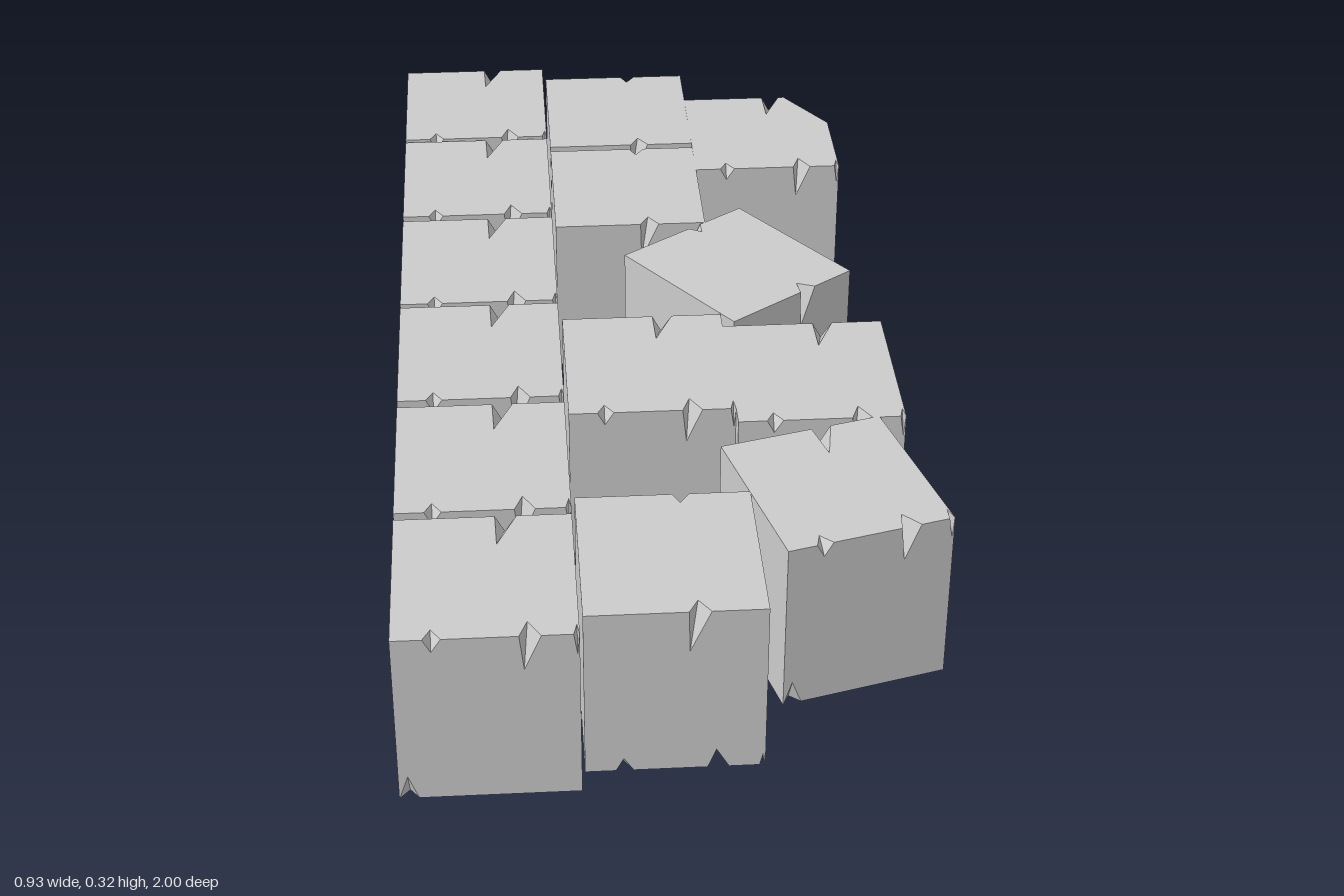
import * as THREE from 'three';

const HALF = [0.1475, 0.1605, 0.16]; // half width, height, depth of one stone

// Chips on the stone's edges. axis: direction of the edge (0 x, 1 y, 2 z),
// sign: which edge, span: start and end along it,
// tips: for each adjoining face (by normal axis) the tip's [position, depth].
const CHIPS = [
  { axis: 0, sign: [0, 1, 1], span: [-0.097, -0.068], tips: { 1: [-0.084, 0.025], 2: [-0.084, 0.025] } },
  { axis: 0, sign: [0, 1, 1], span: [0.053, 0.088], tips: { 1: [0.067, 0.037], 2: [0.06, 0.066] } },
  { axis: 0, sign: [0, 1, 1], span: [0.138, 0.147], tips: { 1: [0.144, 0.025], 2: [0.144, 0.04] } },
  { axis: 0, sign: [0, 1, -1], span: [0.02, 0.056], tips: { 1: [0.022, 0.078], 2: [0.036, 0.03] } },
  { axis: 0, sign: [0, -1, 1], span: [-0.147, -0.115], tips: { 1: [-0.13, 0.02], 2: [-0.132, 0.045] } },
  { axis: 0, sign: [0, -1, -1], span: [0.016, 0.045], tips: { 1: [0.028, 0.025], 2: [0.028, 0.025] } },
  { axis: 2, sign: [1, -1, 0], span: [-0.065, 0.02], tips: { 0: [0.005, 0.065], 1: [-0.015, 0.03] } },
];

// Broken back right corner: [cut along x, cut along z] at bottom and top
const BREAK = { '-1': [0.045, 0.06], '1': [0.08, 0.125] };

function stoneGeometry(broken) {
  const pos = [];
  const corner = (s) => s.map((k, i) => k * HALF[i]);
  const vec = (p) => new THREE.Vector3(...p);

  // Triangle turned so that it faces along dir
  const tri = (a, b, c, dir) => {
    const n = vec(b).sub(vec(a)).cross(vec(c).sub(vec(a)));
    pos.push(...a, ...(n.dot(dir) > 0 ? [...b, ...c] : [...c, ...b]));
  };

  // Point on a chip's edge, moved inward within the face of normal axis n
  const chipPoint = (chip, along, n = -1, depth = 0) => {
    const p = corner(chip.sign);
    p[chip.axis] = along;
    if (n >= 0) {
      const inward = 3 - chip.axis - n;
      p[inward] -= chip.sign[inward] * depth;
    }
    return p;
  };

  // The two end points of the broken corner at a given height
  const backCut = (sy) => [HALF[0] - BREAK[sy][0], sy * HALF[1], -HALF[2]];
  const sideCut = (sy) => [HALF[0], sy * HALF[1], -HALF[2] + BREAK[sy][1]];

  // Six faces, each outlined with its chips
  for (let n = 0; n < 3; n++) for (const side of [-1, 1]) {
    const u = (n + 1) % 3, v = (n + 2) % 3;
    const ring = [[-1, -1], [1, -1], [1, 1], [-1, 1]].map(([a, b]) => {
      const s = [0, 0, 0];
      s[n] = side; s[u] = a; s[v] = b;
      return s;
    });
    const outline = [];
    ring.forEach((s, i) => {
      const next = ring[(i + 1) % 4];
      if (broken && s[0] > 0 && s[2] < 0) {
        if (n === 0) outline.push(sideCut(s[1]));
        else if (n === 2) outline.push(backCut(s[1]));
        else outline.push(backCut(s[1]), sideCut(s[1])); // ring meets the back edge first
      } else outline.push(corner(s));
      const axis = [0, 1, 2].find((k) => s[k] !== next[k]);
      const dir = next[axis];
      CHIPS.filter((c) => c.axis === axis && c.sign.every((k, j) => j === axis || k === s[j]))
        .sort((a, b) => dir * (a.span[0] - b.span[0]))
        .forEach((c) => {
          const [from, to] = dir > 0 ? c.span : [c.span[1], c.span[0]];
          outline.push(chipPoint(c, from), chipPoint(c, c.tips[n][0], n, c.tips[n][1]), chipPoint(c, to));
        });
    });
    // On the level faces the ring runs z then x, so put the cut points in its order
    if (broken && n === 1) {
      const b = backCut(side).join(), q = sideCut(side).join();
      const ib = outline.findIndex((p) => p.join() === b), iq = outline.findIndex((p) => p.join() === q);
      const prev = outline[(ib - 1 + outline.length) % outline.length];
      if (prev[2] > -HALF[2] + 1e-6) [outline[ib], outline[iq]] = [outline[iq], outline[ib]];
    }
    const dir = new THREE.Vector3().setComponent(n, side);
    const flat = outline.map((p) => new THREE.Vector2(p[u], p[v]));
    for (const [a, b, c] of THREE.ShapeUtils.triangulateShape(flat, []))
      tri(outline[a], outline[b], outline[c], dir);
  }

  // Two inner walls of every chip
  for (const c of CHIPS) {
    const [a, b] = c.span.map((t) => chipPoint(c, t));
    const [t1, t2] = Object.entries(c.tips).map(([n, [p, d]]) => chipPoint(c, p, +n, d));
    const dir = vec(b).sub(vec(a));
    tri(a, t1, t2, dir);
    tri(b, t1, t2, dir.clone().negate());
  }

  // Sloping face of the broken corner
  if (broken) {
    const dir = new THREE.Vector3(1, 0, -1);
    tri(backCut(-1), sideCut(-1), sideCut(1), dir);
    tri(backCut(-1), sideCut(1), backCut(1), dir);
  }

  const geo = new THREE.BufferGeometry();
  geo.setAttribute('position', new THREE.Float32BufferAttribute(pos, 3));
  geo.computeVertexNormals();
  return geo;
}

export function createModel() {
  const group = new THREE.Group();
  group.name = 'brokenStoneFloor';
  const material = new THREE.MeshStandardMaterial({ color: 0xcccccc, flatShading: true });
  const whole = stoneGeometry(false);
  const chipped = stoneGeometry(true);

  // tipped: stone rolled a quarter turn forward; turn: angle about the vertical
  const place = (name, x, z, { tipped = false, turn = 0, geo = whole } = {}) => {
    const mesh = new THREE.Mesh(geo, material);
    mesh.name = name;
    mesh.position.set(x, HALF[1], z);
    mesh.rotation.set(tipped ? Math.PI / 2 : 0, turn, 0, 'YXZ');
    group.add(mesh);
  };

  // Complete outer row
  [-0.84, -0.508, -0.17, 0.162, 0.502, 0.84].forEach((z, i) => place(`outerRowStone${i + 1}`, -0.3175, z));

  // Middle row with gaps
  place('middleRowStone1', -0.0165, -0.79, { tipped: true });
  place('middleRowStone2', -0.0165, -0.45, { tipped: true });
  place('middleRowStone3', -0.0165, 0.222);
  place('middleRowStone4', -0.0165, 0.795, { tipped: true });

  // Ragged inner edge
  place('brokenCornerStone', 0.278, -0.67, { geo: chipped });
  place('innerRowStone', 0.278, 0.265);

  // Loose stones
  place('looseStoneBack', 0.179, -0.127, { tipped: true, turn: 0.628 });
  place('looseStoneFront', 0.277, 0.615, { turn: 0.262 });

  return group;
}
